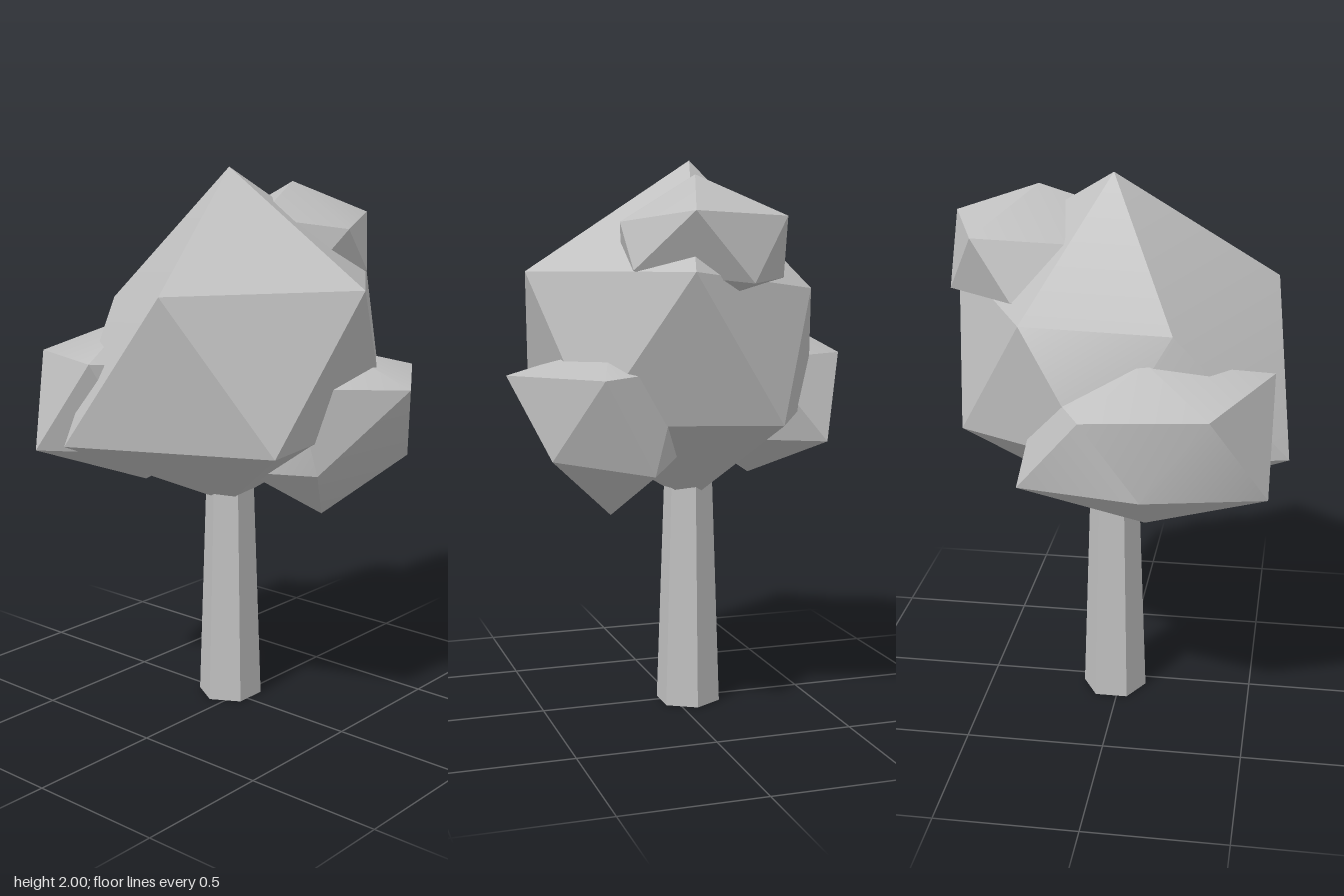
import * as THREE from 'three';
import { toCreasedNormals } from 'three/addons/utils/BufferGeometryUtils.js';

// Irregular twenty-sided clump: a tip, two staggered rings of five, and a base point
function clumpGeometry(top, upper, lower, bottom) {
  const points = [top, ...upper, ...lower, bottom];
  const index = [];
  for (let i = 0; i < 5; i++) {
    const j = (i + 1) % 5;
    const u0 = 1 + i, u1 = 1 + j, l0 = 6 + i, l1 = 6 + j;
    index.push(0, u1, u0, u0, u1, l0, l0, u1, l1, 11, l0, l1);
  }
  const geometry = new THREE.BufferGeometry();
  geometry.setAttribute('position', new THREE.Float32BufferAttribute(points.flat(), 3));
  geometry.setIndex(index);
  return toCreasedNormals(geometry, 0.52);
}

export function createModel() {
  const tree = new THREE.Group();
  tree.name = 'tree';
  const grey = new THREE.MeshStandardMaterial({ color: 0xc0c0c0 });
  grey.name = 'light grey';

  const add = (name, geometry) => {
    const mesh = new THREE.Mesh(geometry, grey);
    mesh.name = name;
    tree.add(mesh);
    return mesh;
  };

  // Tapered six-sided trunk reaching into the crown
  const trunk = add('trunk', toCreasedNormals(new THREE.CylinderGeometry(0.085, 0.12, 1, 6), 0.52));
  trunk.position.set(-0.053, 0.5, -0.02);

  // Large central crown
  add('mainCrown', clumpGeometry(
    [-0.055, 2, -0.02],
    [[0.55, 1.61, -0.02], [0.135, 1.61, 0.55], [-0.4, 1.53, 0.225], [-0.42, 1.55, -0.29], [0.12, 1.62, -0.62]],
    [[0.465, 1.08, 0.35], [-0.26, 1.06, 0.62], [-0.53, 1.12, -0.02], [-0.22, 1.1, -0.545], [0.4, 1.1, -0.36]],
    [-0.055, 0.76, -0.02]));

  // Clump on the model's right
  add('rightClump', clumpGeometry(
    [-0.41, 1.445, 0.13],
    [[0, 1.3, 0.15], [-0.19, 1.35, 0.56], [-0.635, 1.325, 0.37], [-0.635, 1.3, -0.055], [-0.25, 1.3, -0.25]],
    [[-0.1, 1.02, 0.4], [-0.478, 1, 0.56], [-0.655, 1.04, 0.15], [-0.49, 1, -0.295], [-0.12, 1, -0.1]],
    [-0.345, 0.83, 0.13]));

  // Clump on the model's left
  add('leftClump', clumpGeometry(
    [0.3, 1.36, -0.22],
    [[0.65, 1.26, -0.16], [0.4, 1.28, 0.16], [0.08, 1.28, 0.03], [0.08, 1.28, -0.35], [0.4, 1.27, -0.54]],
    [[0.45, 0.97, 0.1], [0.13, 0.93, 0.1], [0, 0.98, -0.16], [0.22, 0.94, -0.5], [0.53, 0.98, -0.33]],
    [0.28, 0.75, -0.15]));

  // Small clump high on the back
  add('topClump', clumpGeometry(
    [0.015, 1.94, -0.295],
    [[0.28, 1.78, -0.29], [0.1, 1.83, 0], [-0.21, 1.78, -0.15], [-0.25, 1.8, -0.485], [0.12, 1.815, -0.62]],
    [[0.22, 1.6, -0.1], [-0.08, 1.6, -0.02], [-0.295, 1.59, -0.34], [-0.09, 1.58, -0.6], [0.27, 1.62, -0.42]],
    [0, 1.48, -0.3]));

  return tree;
}
